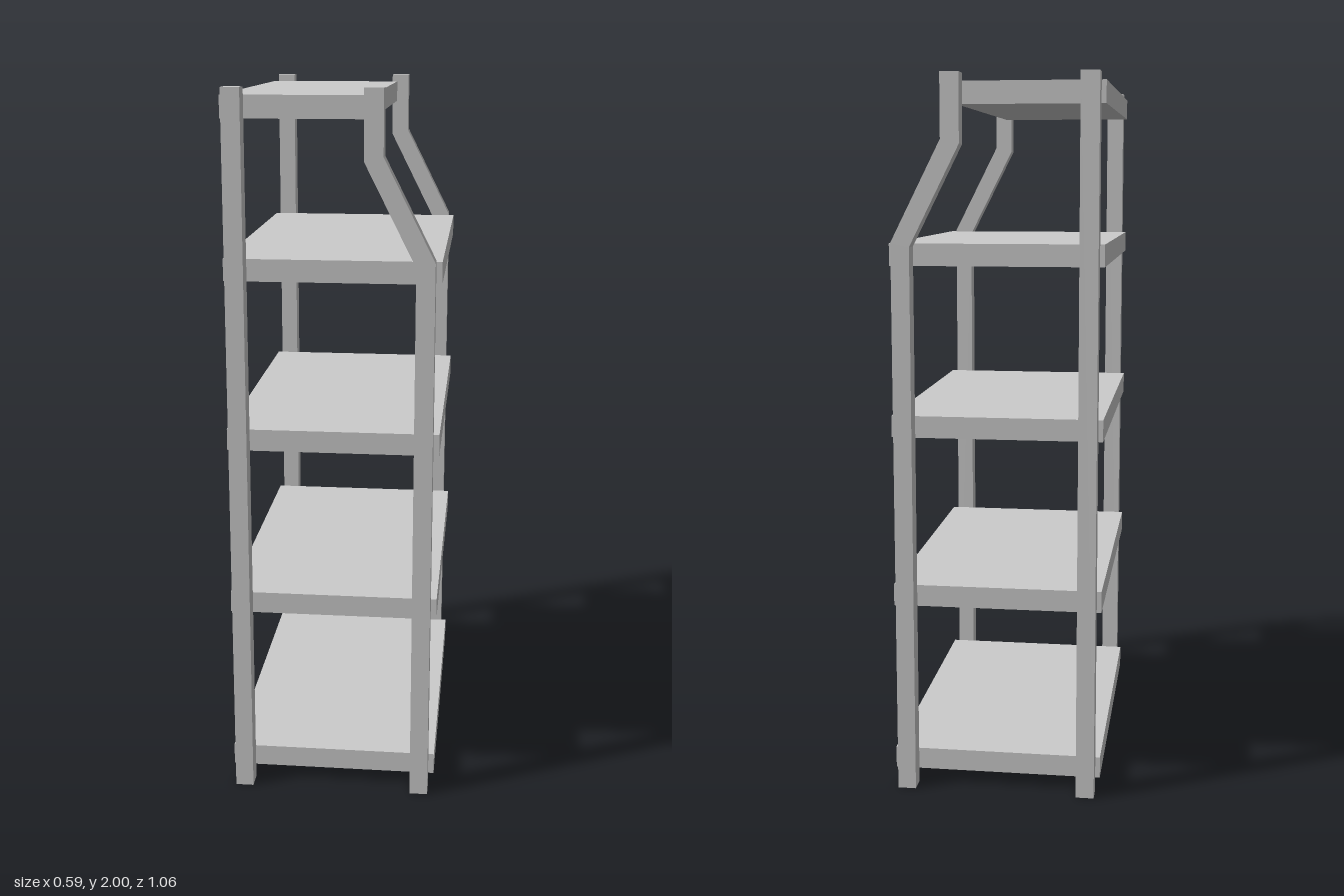
import * as THREE from 'three';

const material = new THREE.MeshStandardMaterial({ color: 0xcccccc, flatShading: true });

export function createModel() {
  const group = new THREE.Group();
  group.name = 'shelvingUnit';

  const postDepth = 0.052, shelfHalfDepth = 0.48, shelfThickness = 0.061;
  const shelfLeft = -0.295;

  // Shelves: underside height and far edge, the top one is narrower
  const shelves = [[0.04, 0.295], [0.527, 0.295], [1.012, 0.295], [1.488, 0.295], [1.918, 0.105]];
  shelves.forEach(([y, right], i) => {
    const geometry = new THREE.BoxGeometry(right - shelfLeft, shelfThickness, shelfHalfDepth * 2);
    const shelf = new THREE.Mesh(geometry, material);
    shelf.name = `shelf${i + 1}`;
    shelf.position.set((shelfLeft + right) / 2, y + shelfThickness / 2, 0);
    group.add(shelf);
  });

  // Post outlines, seen from the front
  const outlines = {
    straightPost: [[-0.282, 0], [-0.231, 0], [-0.231, 2], [-0.282, 2]],
    crankedPost: [
      [0.228, 0], [0.279, 0], [0.279, 1.553], [0.141, 1.826],
      [0.141, 2], [0.09, 2], [0.09, 1.814], [0.228, 1.541],
    ],
  };

  // One pair of posts at each end of the shelves
  for (const [name, points] of Object.entries(outlines)) {
    const shape = new THREE.Shape(points.map(([x, y]) => new THREE.Vector2(x, y)));
    const geometry = new THREE.ExtrudeGeometry(shape, { depth: postDepth, bevelEnabled: false });
    for (const [end, z] of [['Front', shelfHalfDepth], ['Back', -shelfHalfDepth - postDepth]]) {
      const post = new THREE.Mesh(geometry, material);
      post.name = name + end;
      post.position.z = z;
      group.add(post);
    }
  }
  return group;
}
